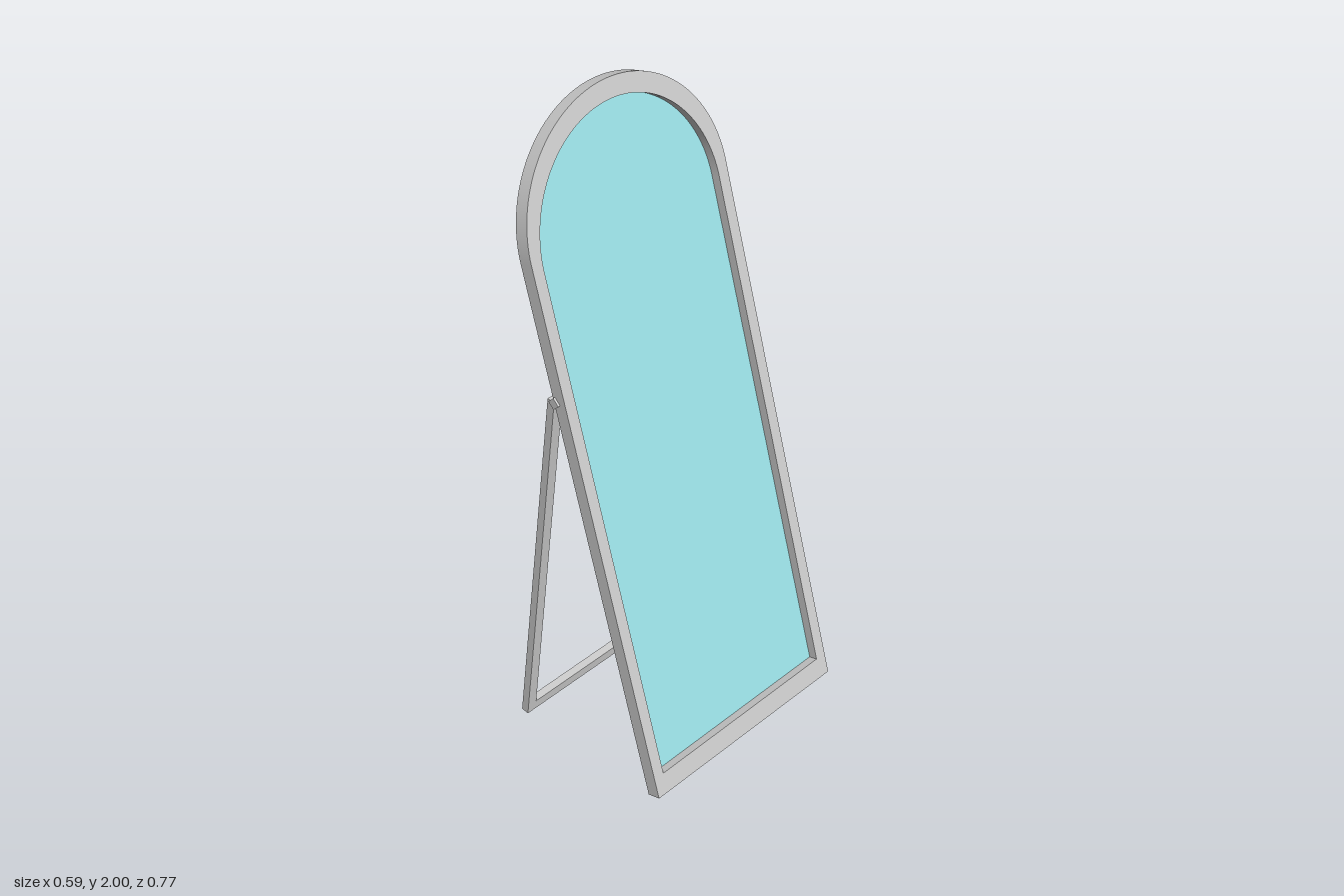
import * as THREE from 'three';
import { toCreasedNormals } from 'three/addons/utils/BufferGeometryUtils.js';

const LEAN = THREE.MathUtils.degToRad(15.5);
const LEG_LEAN = THREE.MathUtils.degToRad(7.5);
const HALF_W = 0.377, SPRING = 1.687; // arch half width and height where it starts
const DEPTH = 0.043, RECESS = 0.029;

const grey = new THREE.MeshStandardMaterial({ color: 0xcccccc });
const glassMat = new THREE.MeshStandardMaterial({ color: 0x9be1e6 });

// Round-topped panel outline; sx, sy scale it and base lifts it
function archPath(Type, sx = 1, sy = 1, base = 0) {
  const p = new Type();
  const w = HALF_W * sx, spring = base + SPRING * sy;
  p.moveTo(-w, base);
  p.lineTo(w, base);
  p.lineTo(w, spring);
  p.absellipse(0, spring, w, HALF_W * sy, 0, Math.PI, false, 0);
  p.closePath();
  return p;
}

function extrude(shape, depth) {
  const geo = new THREE.ExtrudeGeometry(shape, { depth, bevelEnabled: false, curveSegments: 48 });
  return toCreasedNormals(geo, 0.5);
}

function add(parent, name, geo, mat, x = 0, y = 0, z = 0) {
  const mesh = new THREE.Mesh(geo, mat);
  mesh.name = name;
  mesh.position.set(x, y, z);
  parent.add(mesh);
  return mesh;
}

export function createModel() {
  const model = new THREE.Group();
  model.name = 'standingMirror';

  // Leaning mirror: local y runs up the panel, local z out of the glass
  const mirror = new THREE.Group();
  mirror.name = 'mirror';
  mirror.rotation.set(0, Math.PI / 2, LEAN, 'ZYX');
  mirror.position.set(0.253, 0, 0);
  model.add(mirror);

  const inner = [0.902, 0.94, 0.066];
  const board = DEPTH - RECESS;
  const rim = archPath(THREE.Shape);
  rim.holes.push(archPath(THREE.Path, ...inner));
  add(mirror, 'frame', extrude(rim, RECESS), grey, 0, 0, board);
  add(mirror, 'backBoard', extrude(archPath(THREE.Shape), board), grey);
  add(mirror, 'glass', new THREE.ShapeGeometry(archPath(THREE.Shape, ...inner), 48), glassMat, 0, 0, board + 0.0005);

  // Rear stand: two legs joined by a floor bar
  const stand = new THREE.Group();
  stand.name = 'stand';
  stand.rotation.z = -LEG_LEAN;
  stand.position.set(-0.2635, 0.0016, 0);
  model.add(stand);

  const legT = 0.025, legW = 0.032, legLen = 1.242;
  add(stand, 'floorBar', new THREE.BoxGeometry(legT, legW, 2 * (HALF_W - legW)), grey, 0, legW / 2, 0);
  for (const side of [-1, 1]) {
    const label = side > 0 ? 'left' : 'right';
    add(stand, label + 'Leg', new THREE.BoxGeometry(legT, legLen, legW), grey,
      0, legLen / 2, side * (HALF_W - legW / 2));

    // Hinge block joining the leg to the frame
    const hinge = add(model, label + 'Hinge', new THREE.BoxGeometry(0.027, 0.027, 0.038), grey,
      -0.085, 1.233, side * 0.365);
    hinge.rotation.z = Math.PI / 4;
  }
  return model;
}
